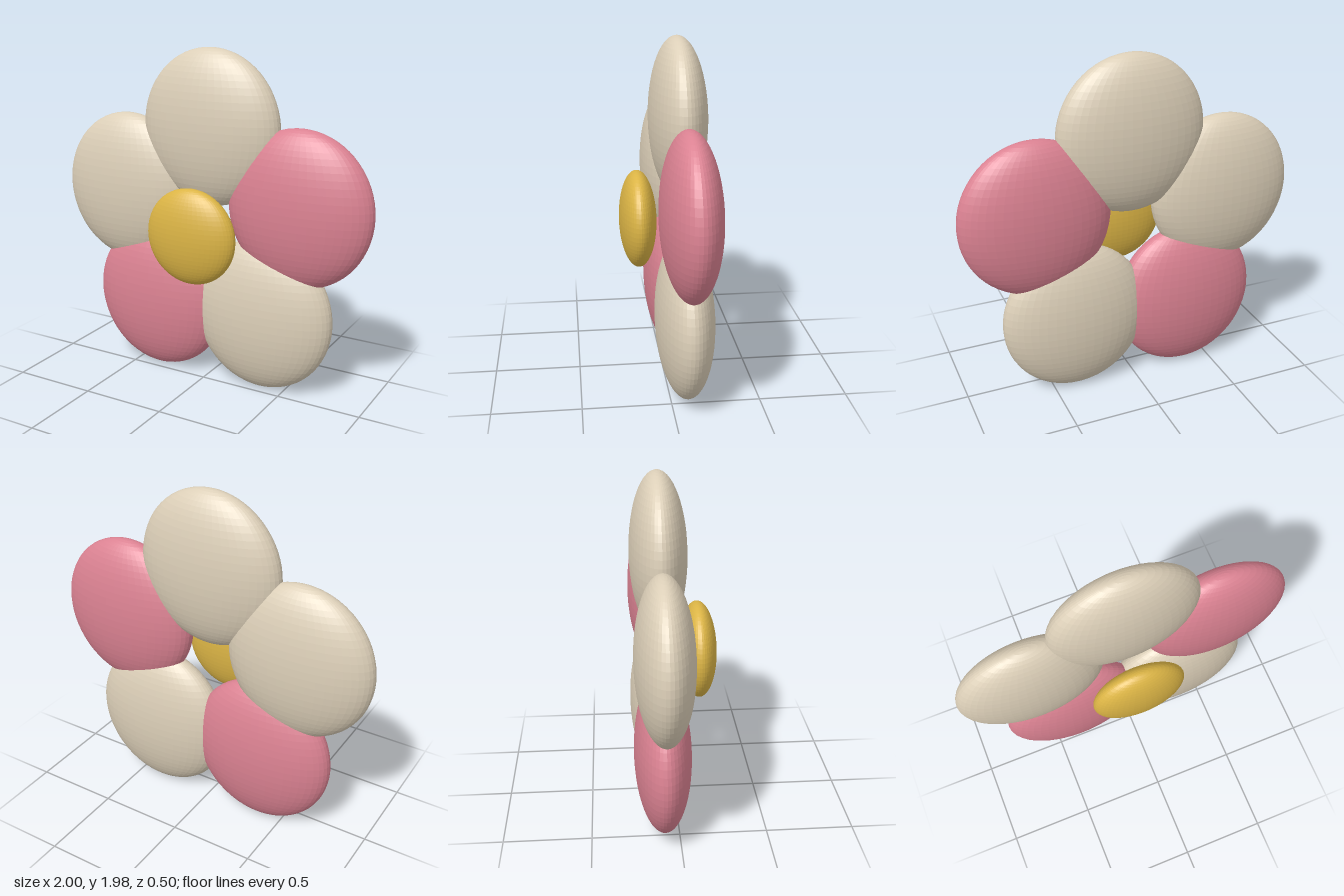
import * as THREE from 'three';

const paint = (name, color) => {
  const m = new THREE.MeshStandardMaterial({ color, flatShading: true });
  m.name = name;
  return m;
};

// Flattened sphere with its poles along y
function ellipsoid(name, material, radii, position) {
  const geometry = new THREE.SphereGeometry(1, 48, 32).scale(...radii);
  const mesh = new THREE.Mesh(geometry, material);
  mesh.name = name;
  mesh.position.set(...position);
  return mesh;
}

export function createModel() {
  const cream = paint('cream', 0xdccfb8);
  const pink = paint('pink', 0xdb8292);
  const gold = paint('gold', 0xdbb445);

  const flower = new THREE.Group();
  flower.name = 'flower';
  const centreY = 0.935;
  const ring = 0.592;

  // Five upright petals around the centre, clockwise from the top
  const petals = [
    ['petalTop', cream],
    ['petalUpperLeft', pink],
    ['petalLowerLeft', cream],
    ['petalLowerRight', pink],
    ['petalUpperRight', cream],
  ];
  petals.forEach(([name, material], i) => {
    const a = (i * Math.PI * 2) / petals.length;
    const position = [ring * Math.sin(a), centreY + ring * Math.cos(a), -0.087];
    flower.add(ellipsoid(name, material, [0.435, 0.455, 0.162], position));
  });

  // Round flower centre in front of the petals
  flower.add(ellipsoid('flowerCentre', gold, [0.281, 0.281, 0.107], [0, 0.937, 0.142]));
  return flower;
}
